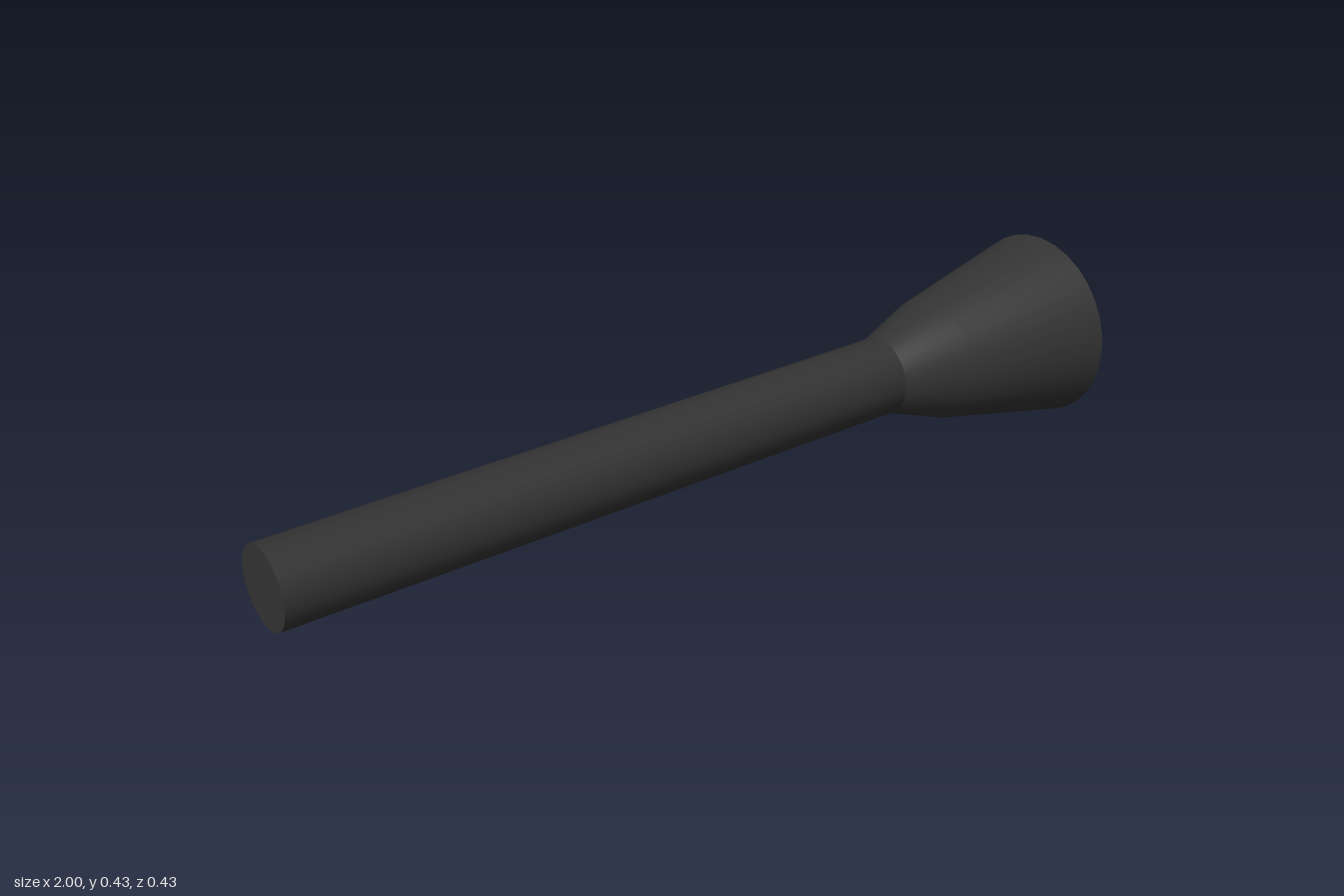
import * as THREE from 'three';
import { toCreasedNormals } from 'three/addons/utils/BufferGeometryUtils.js';

const RADIUS = 0.213;
const SIDES = 32;

// Turns a profile of [x, radius] pairs around the long axis
function turned(name, profile, material) {
  const points = profile.map(([x, r]) => new THREE.Vector2(r, x));
  const lathe = new THREE.LatheGeometry(points, SIDES);
  const geometry = toCreasedNormals(lathe, 0.25).rotateZ(-Math.PI / 2);
  const mesh = new THREE.Mesh(geometry, material);
  mesh.name = name;
  mesh.position.y = RADIUS;
  return mesh;
}

export function createModel() {
  const group = new THREE.Group();
  group.name = 'flaredTube';
  const dark = new THREE.MeshStandardMaterial({ color: 0x333333 });

  // Long straight handle, closed at its far end
  group.add(turned('handle', [[-1, 0], [-1, 0.087], [0.5, 0.087]], dark));

  // Flared head: shoulder, cone, bevelled rim, straight bore and its floor
  group.add(turned('head', [
    [0.5, 0.087], [0.65, 0.14], [0.99, RADIUS],
    [1, 0.18], [0.99, 0.147],
    [0.7, 0.147], [0.7, 0],
  ], dark));

  return group;
}
